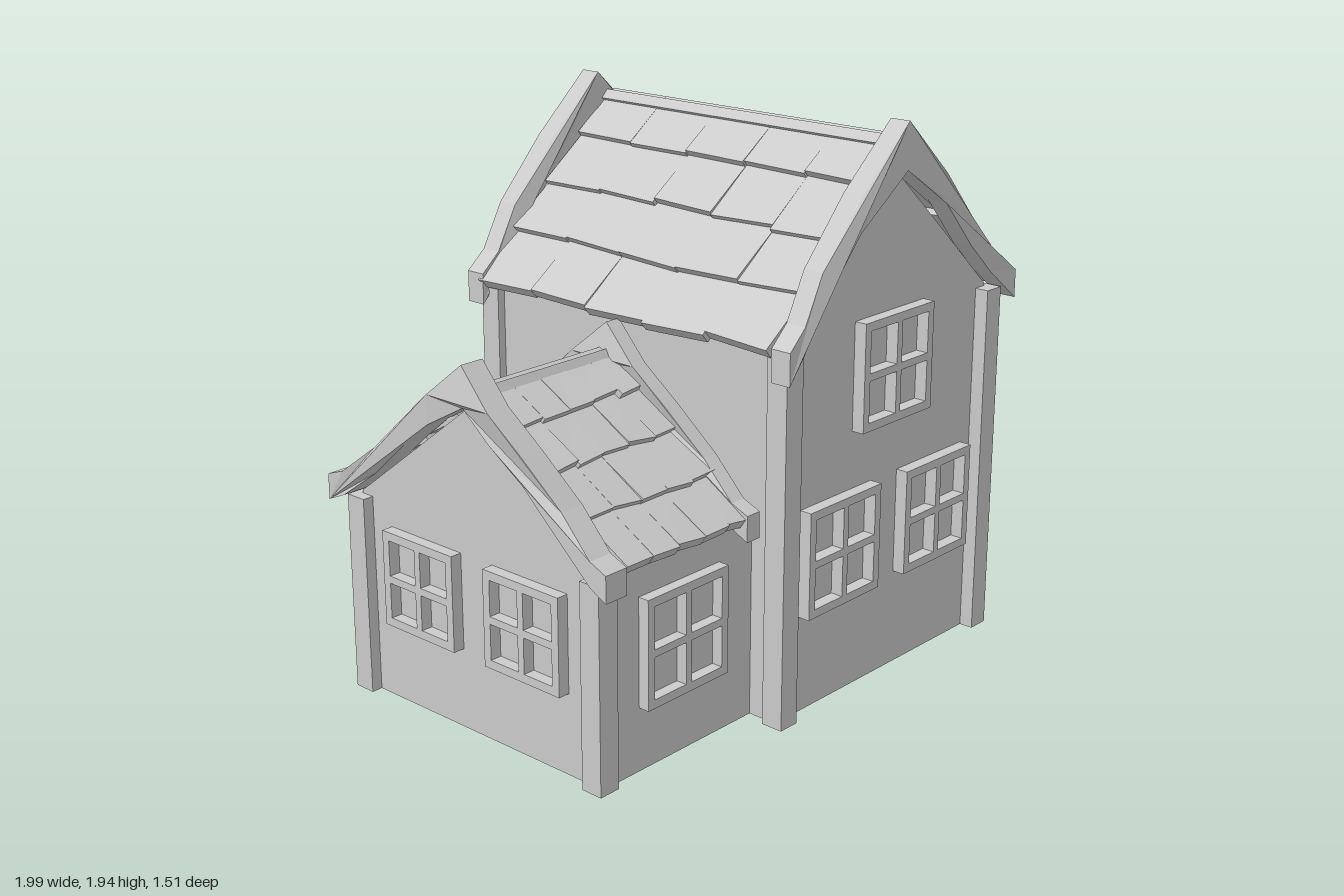
import * as THREE from 'three';

const mat = new THREE.MeshStandardMaterial({ color: 0xcccccc, flatShading: true });

let seed = 7;
const jitter = (a) => {
  seed = (seed * 16807) % 2147483647;
  return (seed / 2147483647 - 0.5) * 2 * a;
};

function add(parent, name, geometry, x = 0, y = 0, z = 0) {
  const m = new THREE.Mesh(geometry, mat);
  m.name = name;
  m.position.set(x, y, z);
  parent.add(m);
  return m;
}

const shapeOf = (pts) => new THREE.Shape(pts.map(([x, y]) => new THREE.Vector2(x, y)));
const extrude = (shape, depth) => new THREE.ExtrudeGeometry(shape, { depth, bevelEnabled: false });

// Box given by its two opposite corners
function block(parent, name, x0, x1, y0, y1, z0, z1) {
  return add(parent, name, new THREE.BoxGeometry(x1 - x0, y1 - y0, z1 - z0),
    (x0 + x1) / 2, (y0 + y1) / 2, (z0 + z1) / 2);
}

// Four-pane window frame, back face on the wall, facing +z before turning
function addWindow(parent, name, size, x, y, z, turn) {
  const h = size / 2, rim = 0.03, bar = 0.013;
  const rect = (x0, x1, y0, y1) => [[x0, y0], [x1, y0], [x1, y1], [x0, y1]];
  const s = shapeOf(rect(-h, h, -h, h));
  for (const i of [0, 1]) for (const j of [0, 1]) {
    const a = i ? [bar, h - rim] : [rim - h, -bar];
    const b = j ? [bar, h - rim] : [rim - h, -bar];
    s.holes.push(shapeOf(rect(...a, ...b)));
  }
  add(parent, name, extrude(s, 0.045), x, y, z).rotation.y = turn;
}

// One roof slope: overlapping wedge tiles running from ridge to eave
function addSlope(parent, name, ridge, eave, length, rows, cols) {
  const g = new THREE.Group();
  g.name = name;
  const down = eave.clone().sub(ridge);
  const run = down.length();
  down.normalize();
  const normal = new THREE.Vector3(0, 1, 0).addScaledVector(down, -down.y).normalize();
  const along = normal.clone().cross(down);
  g.quaternion.setFromRotationMatrix(new THREE.Matrix4().makeBasis(along, normal, down));
  g.position.copy(ridge);
  const w = length / cols, d = run / rows;
  for (let r = 0; r < rows; r++) for (let c = 0; c < cols; c++) {
    const geo = new THREE.BoxGeometry(w, 0.04, d);
    const p = geo.attributes.position;
    const lift = jitter(0.005), slide = jitter(0.008), skew = jitter(0.008);
    for (let i = 0; i < p.count; i++) {
      const lower = p.getZ(i) > 0, right = p.getX(i) > 0;
      // lower edge rides over the next course
      p.setY(i, p.getY(i) - 0.02 + (lower ? lift : -0.025));
      if (lower) p.setZ(i, p.getZ(i) + 0.006 + slide + (right ? skew : -skew));
      else if (r > 0) p.setZ(i, p.getZ(i) - 0.02);
    }
    geo.computeVertexNormals();
    add(g, 'roofTile', geo, (c + 0.5) * w - length / 2, 0, (r + 0.5) * d);
  }
  parent.add(g);
}

// Wavy gable board from sections [across, top y, drop, sideways shift]
function bargeboard(parent, name, sections, thick) {
  const top = sections.map(([u, y]) => [u, y]);
  const bottom = sections.map(([u, y, drop]) => [u, y - drop]).reverse();
  const geo = extrude(shapeOf([...bottom.reverse(), ...top.reverse()]), thick);
  const p = geo.attributes.position;
  for (let i = 0; i < p.count; i++) {
    const s = sections.find(([u]) => Math.abs(u - p.getX(i)) < 1e-4);
    p.setZ(i, p.getZ(i) - thick / 2 + s[3]);
  }
  geo.computeVertexNormals();
  return add(parent, name, geo);
}

function buildMainHouse() {
  const g = new THREE.Group();
  g.name = 'mainHouse';
  const wall = shapeOf([[-0.22, 0], [0.89, 0], [0.89, 1.28], [0.58, 1.56], [0.32, 1.79], [0.06, 1.56], [-0.22, 1.27]]);
  add(g, 'mainWalls', extrude(wall, 1.3), 0, 0, -0.64);
  for (const x of [-0.25, 0.84]) for (const z of [-0.67, 0.63]) {
    block(g, 'cornerPost', x, x + 0.08, 0, 1.27, z, z + 0.08);
  }
  // Front, back and right windows
  for (const [x, y] of [[0.343, 1.11], [0.078, 0.533], [0.598, 0.533]]) addWindow(g, 'frontWindow', 0.375, x, y, 0.66, 0);
  addWindow(g, 'backWindow', 0.375, 0.343, 1.11, -0.64, Math.PI);
  for (const [z, y] of [[0, 1.01], [0.295, 0.453], [-0.293, 0.453]]) addWindow(g, 'rightWindow', 0.335, 0.887, y, z, Math.PI / 2);
  // Roof
  const ridge = new THREE.Vector3(0.385, 1.89, 0);
  addSlope(g, 'rightRoofSlope', ridge, new THREE.Vector3(0.975, 1.3, 0), 1.3, 4, 5);
  addSlope(g, 'leftRoofSlope', ridge, new THREE.Vector3(-0.28, 1.3, 0), 1.3, 4, 5);
  const sections = [
    [-0.29, 1.31, 0.11, 0.02], [-0.2, 1.37, 0.09, 0.005], [-0.1, 1.52, 0.12, -0.01], [0.1, 1.73, 0.12, -0.015],
    [0.31, 1.94, 0.16, 0.005], [0.52, 1.74, 0.1, 0.012], [0.7, 1.56, 0.1, -0.005], [0.84, 1.43, 0.09, -0.015], [0.99, 1.32, 0.1, -0.01]];
  bargeboard(g, 'frontBargeboard', sections, 0.075).position.z = 0.695;
  const back = bargeboard(g, 'backBargeboard', sections, 0.075);
  back.position.set(0.01, 0, -0.69);
  return g;
}

function buildDoor() {
  const g = new THREE.Group();
  g.name = 'backDoor';
  const arch = (r, spring, rise) => {
    const pts = [[-r, 0]];
    for (let i = 0; i <= 6; i++) {
      const a = Math.PI * (1 - i / 6);
      pts.push([r * Math.cos(a), spring + rise * Math.sin(a)]);
    }
    pts.push([r, 0]);
    return pts;
  };
  // Arched surround
  const frame = shapeOf([...arch(0.265, 0.44, 0.26), ...arch(0.215, 0.44, 0.21).reverse()]);
  add(g, 'doorFrame', extrude(frame, 0.1));
  // Uneven upright planks cut to the arch
  const n = 8, w = 0.43 / n;
  for (let i = 0; i < n; i++) {
    const x = -0.215 + (i + 0.5) * w;
    const h = 0.43 + 0.2 * Math.sqrt(1 - (x / 0.22) ** 2);
    const geo = new THREE.BoxGeometry(w * 0.76, h, 0.05, 1, 4, 1);
    const p = geo.attributes.position;
    const bend = [0, 1, 2, 3, 4].map(() => jitter(0.005));
    for (let k = 0; k < p.count; k++) p.setX(k, p.getX(k) + bend[Math.round((p.getY(k) / h + 0.5) * 4)]);
    geo.computeVertexNormals();
    add(g, 'doorPlank', geo, x, h / 2, 0.035);
  }
  for (const y of [0.17, 0.26]) block(g, 'doorRail', -0.22, 0.22, y - 0.02, y + 0.02, 0.05, 0.115);
  g.position.set(0.335, 0, -0.64);
  g.rotation.y = Math.PI;
  return g;
}

function buildAnnex() {
  const g = new THREE.Group();
  g.name = 'annex';
  const wall = shapeOf([[-0.55, 0], [0.55, 0], [0.55, 0.71], [0, 1.13], [-0.55, 0.71]]);
  add(g, 'annexWalls', extrude(wall, 0.72), -0.2, 0, 0).rotation.y = -Math.PI / 2;
  for (const s of [-1, 1]) {
    block(g, 'annexPost', -0.96, -0.88, 0, 0.7, s * 0.54 - 0.04, s * 0.54 + 0.04);
    addWindow(g, 'annexSideWindow', 0.375, -0.567, 0.408, s * 0.545, s > 0 ? 0 : Math.PI);
    addWindow(g, 'annexEndWindow', 0.335, -0.917, 0.45, s * 0.24, -Math.PI / 2);
    addSlope(g, 'annexRoofSlope', new THREE.Vector3(-0.595, 1.205, 0),
      new THREE.Vector3(-0.595, 0.76, s * 0.62), 0.57, 4, 5);
  }
  // Gable boards, mirrored about the ridge
  const half = [[0.64, 0.765, 0.09, 0.02], [0.57, 0.79, 0.085, 0.015], [0.43, 0.9, 0.09, -0.01],
    [0.27, 1.04, 0.09, 0], [0.14, 1.15, 0.1, 0.012]];
  const sections = [...half.map(([u, ...r]) => [-u, ...r]), [0, 1.27, 0.14, -0.012], ...half.slice().reverse()];
  for (const [x, t] of [[-0.925, 0.09], [-0.3, 0.06]]) {
    const b = bargeboard(g, 'annexBargeboard', sections, t);
    b.rotation.y = -Math.PI / 2;
    b.position.x = x;
  }
  return g;
}

export function createModel() {
  seed = 7;
  const model = new THREE.Group();
  model.name = 'cottage';
  model.add(buildMainHouse(), buildDoor(), buildAnnex());
  return model;
}
